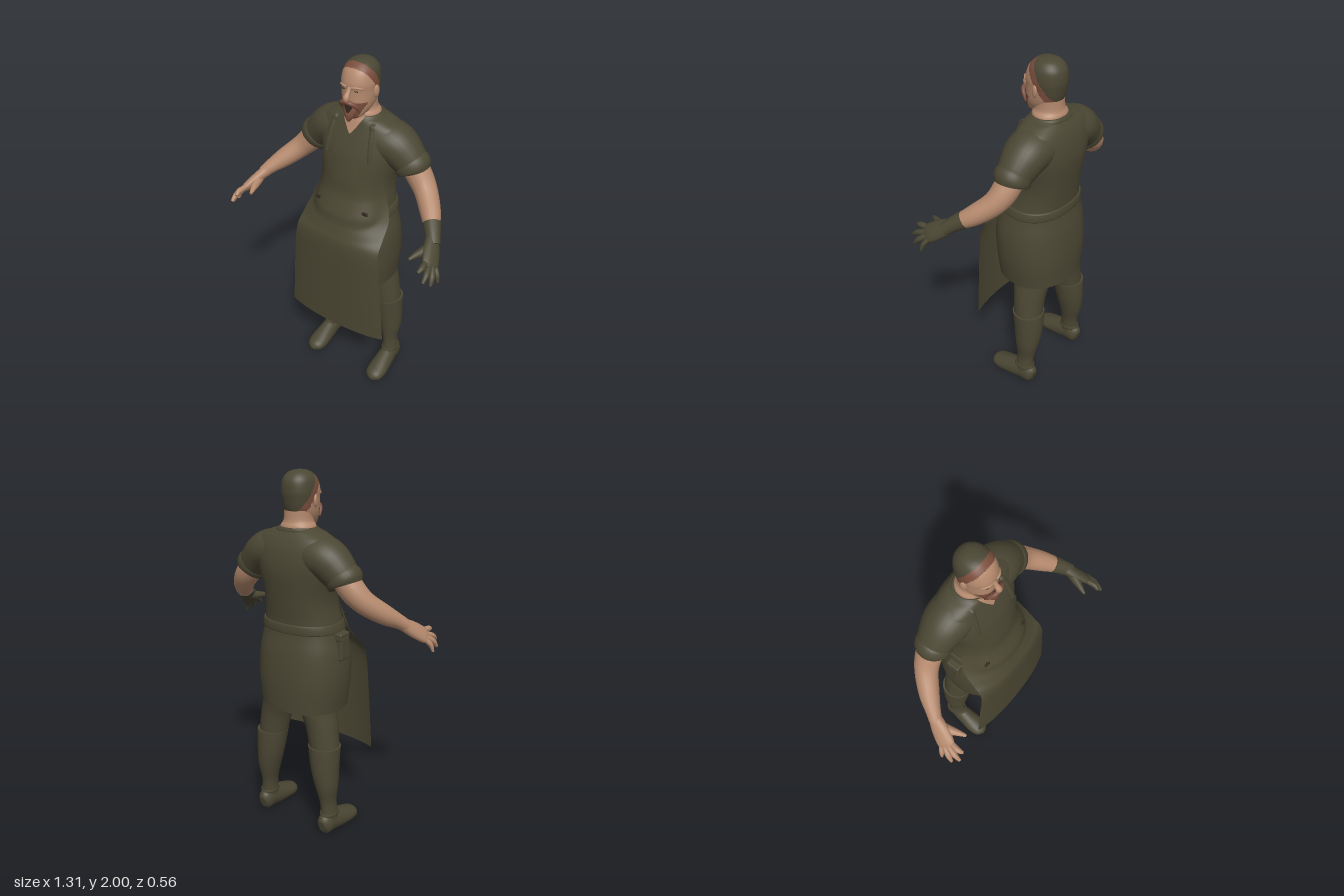
import * as THREE from 'three';
import { RoundedBoxGeometry } from 'three/addons/geometries/RoundedBoxGeometry.js';

const V = (x, y, z) => new THREE.Vector3(x, y, z);
const mat = (name, color) => Object.assign(new THREE.MeshStandardMaterial({ color }), { name });

// Smooth interpolation of every column of a short table of rows
function densify(rows, steps) {
  const out = [], n = rows.length - 1;
  const at = (i) => rows[Math.min(n, Math.max(0, i))];
  for (let k = 0; k <= n * steps; k++) {
    const i = Math.min(n - 1, Math.floor(k / steps)), t = k / steps - i;
    out.push(at(i).map((b, c) => {
      const a = at(i - 1)[c], d = at(i + 1)[c], e = at(i + 2)[c];
      return b + 0.5 * t * (d - a + t * (2 * a - 5 * b + 4 * d - e + t * (3 * (b - d) + e - a)));
    }));
  }
  return out;
}

// Skin closed rings of points, with flat end caps
function skinRings(rings) {
  const pos = [], idx = [], m = rings[0].length;
  const push = (p) => pos.push(p.x, p.y, p.z);
  rings.forEach((r) => r.forEach(push));
  for (let i = 0; i < rings.length - 1; i++) for (let j = 0; j < m; j++) {
    const a = i * m + j, b = i * m + (j + 1) % m;
    idx.push(a, b, a + m, b, b + m, a + m);
  }
  [rings[0], rings[rings.length - 1]].forEach((r, end) => {
    const base = pos.length / 3, c = V(0, 0, 0);
    r.forEach((p) => { push(p); c.addScaledVector(p, 1 / m); });
    push(c);
    for (let j = 0; j < m; j++) {
      const a = base + j, b = base + (j + 1) % m;
      idx.push(...(end ? [a, b, base + m] : [b, a, base + m]));
    }
  });
  const g = new THREE.BufferGeometry();
  g.setAttribute('position', new THREE.Float32BufferAttribute(pos, 3));
  g.setIndex(idx);
  g.computeVertexNormals();
  return g;
}

// Horizontal sections, rising: [y, centreX, halfWidth, zFront, zBack]
const spow = (v, e) => Math.sign(v) * Math.abs(v) ** e;
function stack(rows, power = 2, m = 40, steps = 5) {
  return skinRings(densify(rows, steps).map(([y, cx, w, f, b]) => Array.from({ length: m }, (_, j) => {
    const t = j / m * Math.PI * 2, e = 2 / power;
    return V(cx + w * spow(Math.sin(t), e), y, (f + b) / 2 + (f - b) / 2 * spow(Math.cos(t), e));
  })));
}

// Tapering limb along a path: [x, y, z, radiusA, radiusB], radiusB lies along ref
function limb(points, ref = V(0, 0, 1), m = 16, steps = 5) {
  const rows = densify(points.map((p) => (p.length < 5 ? [...p, p[3]] : p)), steps);
  const P = rows.map((r) => V(r[0], r[1], r[2]));
  return skinRings(rows.map((r, i) => {
    const t = P[Math.min(i + 1, P.length - 1)].clone().sub(P[Math.max(i - 1, 0)]).normalize();
    const b = ref.clone().addScaledVector(t, -ref.dot(t)).normalize();
    const a = b.clone().cross(t);
    return Array.from({ length: m }, (_, j) => {
      const q = j / m * Math.PI * 2;
      return P[i].clone().addScaledVector(a, r[3] * Math.cos(q)).addScaledVector(b, r[4] * Math.sin(q));
    });
  }));
}

// Open sheet: at(u, v) gives a point, u in -1..1, v in 0..1 going down
function sheet(at, nu, nv) {
  const g = new THREE.PlaneGeometry(2, 1, nu, nv), p = g.attributes.position;
  for (let i = 0; i < p.count; i++) p.setXYZ(i, ...at(p.getX(i), 0.5 - p.getY(i)));
  g.computeVertexNormals();
  return g;
}

const TORSO = [
  [0.74, 0, 0.24, 0.137, -0.275], [0.9, 0, 0.258, 0.145, -0.28], [1.06, 0, 0.253, 0.145, -0.268],
  [1.2, 0, 0.22, 0.1, -0.245], [1.35, 0, 0.2, 0.068, -0.258], [1.5, 0, 0.225, 0.045, -0.275],
  [1.6, 0, 0.245, 0.012, -0.264], [1.66, 0, 0.23, -0.012, -0.243], [1.695, 0, 0.165, -0.024, -0.222],
  [1.71, 0, 0.118, -0.03, -0.212], [1.72, 0, 0.1, -0.034, -0.206]];
const torsoRows = densify(TORSO, 5), TP = 2.3;
function torsoAt(y) {
  const i = Math.max(0, torsoRows.findLastIndex((r) => r[0] <= y)), a = torsoRows[i];
  const b = torsoRows[Math.min(i + 1, torsoRows.length - 1)];
  const t = b[0] > a[0] ? (y - a[0]) / (b[0] - a[0]) : 0;
  return a.map((v, c) => v + (b[c] - v) * t);
}
function chestZ(x, y) {
  const [, , w, f, b] = torsoAt(y);
  return (f + b) / 2 + (f - b) / 2 * Math.max(0, 1 - Math.abs(x / w) ** TP) ** (1 / TP);
}

export function createModel() {
  const root = new THREE.Group();
  root.name = 'apronedWorker';
  const cloth = mat('oliveCloth', 0x4b4734), skin = mat('skin', 0xb4896d);
  const hair = mat('brownHair', 0x7a4e3d), dark = mat('darkDetail', 0x30281f);
  const sheetCloth = mat('apronCloth', 0x4b4733);
  sheetCloth.side = THREE.DoubleSide;
  const add = (name, geo, material) => {
    const mesh = new THREE.Mesh(geo, material);
    mesh.name = name;
    root.add(mesh);
    return mesh;
  };

  // Tunic, belt and collar
  add('tunic', stack(TORSO, TP, 64), cloth);
  const grow = (y, d) => { const [, c, w, f, b] = torsoAt(y); return [y, c, w + d, f + d / 2, b - d]; };
  add('belt', stack([grow(1.178, 0.003), grow(1.184, 0.008), grow(1.222, 0.008), grow(1.228, 0.003)], TP, 64, 2), cloth);
  add('openNeck', sheet((u, v) => {
    const y = 1.73 - 0.1 * v, x = u * 0.066 * (1 - v) ** 0.8;
    return [x, y, chestZ(x, y) + 0.009 - 0.003 * v];
  }, 10, 10), skin);

  // Apron: [y, halfWidth, zCentre, zEdge], listed downwards
  const apronRows = densify([
    [1.51, 0.148, 0.06, 0.0], [1.45, 0.17, 0.07, 0.0], [1.38, 0.193, 0.08, -0.02], [1.28, 0.215, 0.09, -0.03],
    [1.18, 0.247, 0.125, 0.0], [1.1, 0.258, 0.157, 0.075], [1.02, 0.267, 0.178, 0.135],
    [0.8, 0.29, 0.18, 0.14], [0.45, 0.318, 0.18, 0.14]], 6);
  add('apron', sheet((u, v) => {
    const [y, w, c, e] = apronRows[Math.round(v * (apronRows.length - 1))];
    const x = u * w, z = c + (e - c) * Math.abs(u) ** 2.5;
    const gap = 0.012 + 0.02 * Math.max(0, 1 - Math.abs(y - 1.2) / 0.1);
    return [x, y, Math.max(z, chestZ(x, y) + gap)];
  }, 28, apronRows.length - 1), sheetCloth);

  // Flat neck straps and apron buckles
  for (const s of [-1, 1]) {
    const strap = [1.5, 1.56, 1.62, 1.665, 1.69].map((y, i) => {
      const x = 0.132 - 0.006 * i;
      return [s * x, y, chestZ(x, y) + 0.001, 0.014, 0.005];
    });
    strap.push([s * 0.114, 1.706, -0.12, 0.008, 0.004], [s * 0.075, 1.705, -0.198, 0.008, 0.004], [0, 1.703, -0.213, 0.008, 0.004]);
    add('apronStrap', limb(strap, V(0, 0.3, 1), 8), cloth);
    add('apronBuckle', new RoundedBoxGeometry(0.036, 0.018, 0.012, 2, 0.004), dark)
      .position.set(s * 0.148, 1.235, Math.max(chestZ(0.148, 1.235) + 0.026, 0.083));
  }

  // Pouch hanging from the belt
  add('pouch', new RoundedBoxGeometry(0.045, 0.13, 0.075, 3, 0.012), cloth).position.set(-0.245, 1.095, -0.065);
  add('pouchFlap', new RoundedBoxGeometry(0.05, 0.045, 0.082, 3, 0.01), cloth).position.set(-0.241, 1.16, -0.065);

  for (const s of [-1, 1]) {
    const side = (pts) => pts.map(([x, ...r]) => [s * x, ...r]);
    const put = (name, pts, m, ref) => add(name, limb(side(pts), ref), m);

    // Sleeve, cuff and arm
    add('sleeve', limb(side([[0.04, 1.6, -0.13, 0.106, 0.112], [0.13, 1.588, -0.13, 0.11, 0.122],
      [0.2, 1.569, -0.132, 0.108, 0.118], [0.262, 1.518, -0.132, 0.098, 0.1], [0.303, 1.472, -0.13, 0.086, 0.086]]), V(0, 0, 1), 28), cloth);
    add('sleeveCuff', limb(side([[0.283, 1.5, -0.13, 0.091, 0.092], [0.29, 1.492, -0.13, 0.097, 0.096],
      [0.308, 1.468, -0.13, 0.095, 0.093], [0.311, 1.463, -0.13, 0.082, 0.083]]), V(0, 0, 1), 28, 2), cloth);
    put('arm', [[0.27, 1.53, -0.13, 0.07], [0.34, 1.44, -0.127, 0.069], [0.4, 1.375, -0.1, 0.061],
      [0.47, 1.312, -0.03, 0.053], [0.52, 1.268, 0.035, 0.039], [0.545, 1.24, 0.07, 0.034]], skin);

    // Hand, gloved on the left
    const m = s > 0 ? cloth : skin, spread = V(s * 0.06, -0.07, -0.09);
    if (s > 0) put('gloveCuff', [[0.502, 1.285, 0.01, 0.047], [0.53, 1.258, 0.048, 0.041], [0.56, 1.222, 0.09, 0.036]], cloth);
    put('palm', [[0.535, 1.25, 0.055, 0.031, 0.034], [0.562, 1.215, 0.11, 0.03, 0.05],
      [0.59, 1.18, 0.165, 0.025, 0.053], [0.604, 1.164, 0.19, 0.015, 0.046]], m, spread);
    const fingers = [[[0.58, 1.192, 0.205], [0.578, 1.178, 0.272]], [[0.596, 1.174, 0.192], [0.612, 1.13, 0.277]],
      [[0.608, 1.162, 0.176], [0.638, 1.102, 0.242]], [[0.612, 1.157, 0.155], [0.648, 1.09, 0.185]]];
    fingers.forEach(([a, b], i) => {
      const r = i === 3 ? 0.013 : 0.0155, mid = a.map((v, k) => (v + b[k]) / 2 + [0.006, 0.004, 0.006][k]);
      put('finger', [[...a, r], [...mid, r], [...b, r * 0.55]], m, spread);
    });
    put('thumb', [[0.555, 1.222, 0.09, 0.028], [0.54, 1.212, 0.14, 0.026], [0.52, 1.207, 0.19, 0.017], [0.504, 1.2, 0.233, 0.008]], m);

    // Trouser leg, boot and shoe
    const pillar = (name, rows, steps) => add(name, stack(rows.map(([y, cx, ...r]) => [y, s * cx, ...r]), 2, 28, steps), cloth);
    pillar('trouserLeg', [[0.5, 0.183, 0.083, -0.05, -0.215], [0.54, 0.179, 0.084, -0.045, -0.213],
      [0.65, 0.158, 0.09, -0.03, -0.217], [0.74, 0.132, 0.098, -0.01, -0.228], [0.85, 0.115, 0.1, 0.0, -0.235]]);
    pillar('boot', [[0.06, 0.22, 0.046, -0.07, -0.19], [0.12, 0.219, 0.045, -0.075, -0.186],
      [0.2, 0.213, 0.044, -0.08, -0.19], [0.3, 0.207, 0.064, -0.07, -0.214], [0.4, 0.195, 0.078, -0.058, -0.225],
      [0.48, 0.188, 0.086, -0.048, -0.226], [0.535, 0.184, 0.091, -0.042, -0.224]]);
    pillar('bootAnkleBand', [[0.11, 0.219, 0.046, -0.07, -0.19], [0.118, 0.219, 0.05, -0.066, -0.194],
      [0.13, 0.219, 0.048, -0.07, -0.191]], 2);
    const shoe = limb(side([[0.219, 0.055, -0.203, 0.022, 0.035], [0.219, 0.06, -0.18, 0.043, 0.062], [0.22, 0.065, -0.12, 0.048, 0.067],
      [0.222, 0.05, -0.05, 0.055, 0.06], [0.224, 0.034, 0.03, 0.06, 0.046], [0.225, 0.026, 0.08, 0.048, 0.034], [0.225, 0.02, 0.104, 0.014, 0.012]]), V(0, 1, 0), 24);
    const sp = shoe.attributes.position;
    for (let i = 0; i < sp.count; i++) sp.setY(i, Math.max(0, sp.getY(i)));
    shoe.computeVertexNormals();
    add('shoe', shoe, cloth);

    // Ear, narrowed eye, brow ridge and moustache half
    const ear = add('ear', new THREE.SphereGeometry(1, 14, 10), skin);
    ear.scale.set(0.01, 0.033, 0.018);
    ear.position.set(s * 0.091, 1.85, -0.094);
    ear.rotation.y = s * -0.35;
    const eye = add('eye', new THREE.SphereGeometry(1, 12, 8), dark);
    eye.scale.set(0.012, 0.0025, 0.004);
    eye.position.set(s * 0.037, 1.868, 0.003);
    put('browRidge', [[0.014, 1.884, 0.01, 0.006], [0.04, 1.888, 0.006, 0.006], [0.066, 1.881, -0.015, 0.004]], skin, V(0, 1, 0));
    put('moustache', [[0, 1.817, 0.034, 0.012], [0.025, 1.811, 0.03, 0.012], [0.045, 1.792, 0.012, 0.01], [0.052, 1.76, -0.006, 0.004]], hair);
  }

  // Neck and head, the head split into skin, brown hair and cropped crown
  add('neck', stack([[1.64, 0, 0.1, -0.04, -0.2], [1.7, 0, 0.098, -0.036, -0.202], [1.726, 0, 0.094, -0.036, -0.2],
    [1.745, 0, 0.08, -0.04, -0.191], [1.77, 0, 0.076, -0.042, -0.187], [1.82, 0, 0.076, -0.05, -0.185]], 2.1, 36), skin);
  const head = stack([[1.712, 0, 0.02, -0.005, -0.05], [1.725, 0, 0.045, 0.005, -0.09], [1.76, 0, 0.07, 0.008, -0.155], [1.8, 0, 0.083, 0.01, -0.185],
    [1.86, 0, 0.089, 0.008, -0.2], [1.9, 0, 0.091, 0.01, -0.204], [1.95, 0, 0.083, -0.008, -0.197],
    [1.982, 0, 0.061, -0.038, -0.172], [1.996, 0, 0.034, -0.065, -0.142], [2, 0, 0.006, -0.095, -0.11]], 2.15, 72, 8);
  const hp = head.attributes.position, buckets = [[], [], []], src = head.index.array;
  for (let i = 0; i < src.length; i += 3) {
    const tri = [src[i], src[i + 1], src[i + 2]];
    const mean = (f) => tri.reduce((t, k) => t + hp[f](k) / 3, 0);
    const x = Math.abs(mean('getX')), y = mean('getY'), z = mean('getZ');
    const crown = y > 1.78 && z < -0.19 + (y - 1.785) * 0.64;
    const fringe = y > 1.755 && z < -0.17 + (y - 1.76) * 0.69;
    const beard = y < 1.808 && z > -0.075 && x < 0.025 + (y - 1.7) * 0.5;
    buckets[crown ? 2 : fringe || beard ? 1 : 0].push(...tri);
  }
  head.setIndex(buckets.flat());
  let start = 0;
  buckets.forEach((b, i) => { head.addGroup(start, b.length, i); start += b.length; });
  add('head', head, [skin, hair, cloth]);

  // Nose, pointed beard and open mouth
  add('nose', limb([[0, 1.885, 0.004, 0.01], [0, 1.86, 0.018, 0.012], [0, 1.838, 0.034, 0.016], [0, 1.824, 0.032, 0.014]], V(0, 0, 1), 14), skin);
  add('beard', limb([[0, 1.79, -0.015, 0.045, 0.025], [0, 1.76, -0.005, 0.04, 0.026], [0, 1.73, 0.008, 0.026, 0.02], [0, 1.704, 0.016, 0.006, 0.006]]), hair);
  add('mouth', limb([[0, 1.802, 0.016, 0.026, 0.004], [0, 1.785, 0.016, 0.022, 0.004], [0, 1.765, 0.019, 0.013, 0.004], [0, 1.748, 0.02, 0.003, 0.004]]), dark);
  return root;
}
